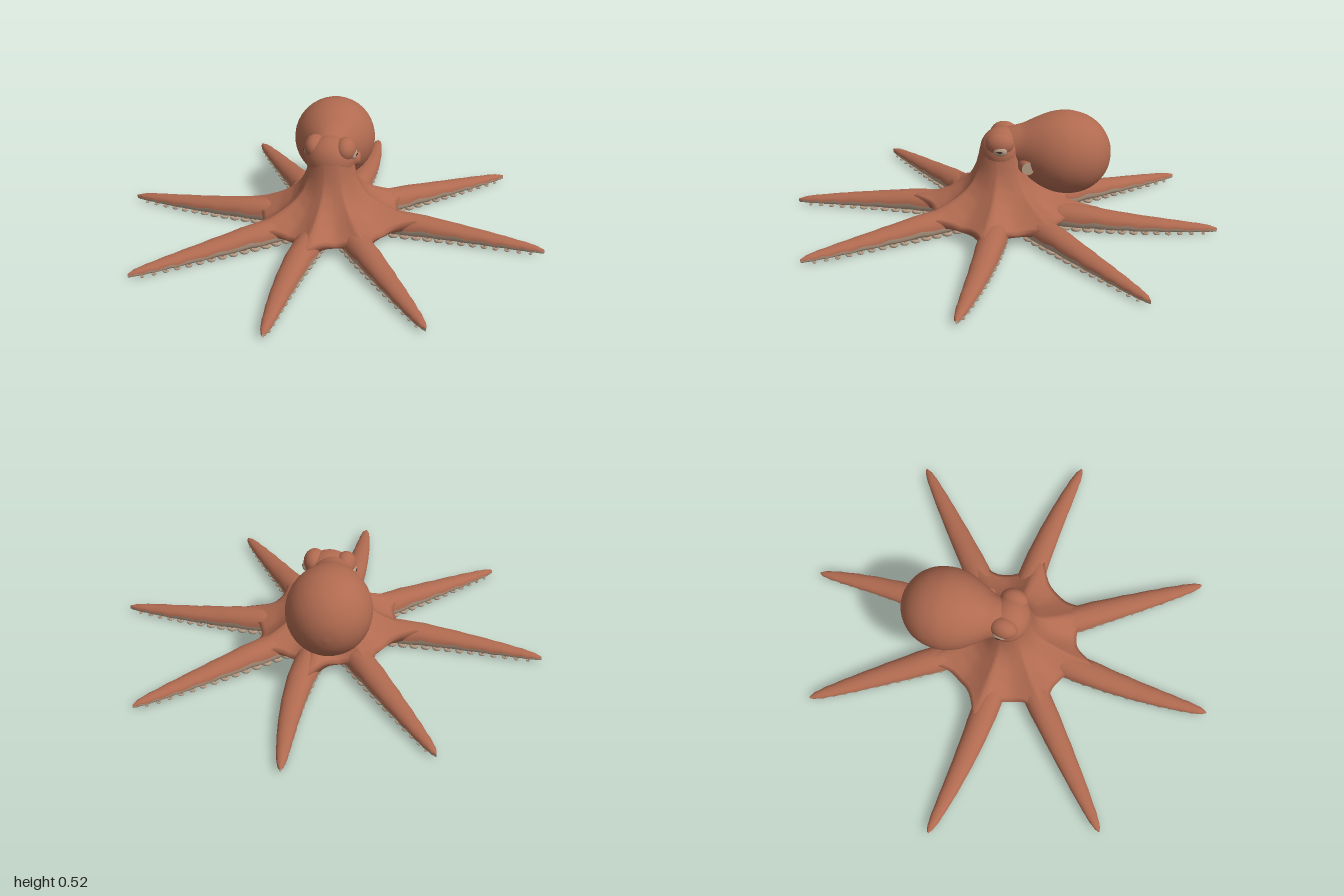
import * as THREE from 'three';
import { mergeGeometries } from 'three/addons/utils/BufferGeometryUtils.js';

const paint = (name, color) => {
  const m = new THREE.MeshStandardMaterial({ color, side: THREE.DoubleSide });
  m.name = name;
  return m;
};

// Piecewise linear lookup in a list of [x, y] pairs
function lookup(table, x) {
  if (x <= table[0][0]) return table[0][1];
  for (let i = 1; i < table.length; i++) {
    const [x0, y0] = table[i - 1], [x1, y1] = table[i];
    if (x <= x1) return y0 + (y1 - y0) * (x - x0) / (x1 - x0);
  }
  return table[table.length - 1][1];
}

// Smooth surface through equal-length rows of points
function loft(rows, closed) {
  const n = rows[0].length, index = [];
  for (let i = 0; i < rows.length - 1; i++) {
    for (let j = 0; j < (closed ? n : n - 1); j++) {
      const k = (j + 1) % n;
      const a = i * n + j, b = i * n + k, c = a + n, d = b + n;
      index.push(a, b, c, b, d, c);
    }
  }
  const g = new THREE.BufferGeometry().setFromPoints(rows.flat());
  g.setIndex(index);
  g.computeVertexNormals();
  return g;
}

// Tip x, tip z, sideways bow of each arm, in order around the body
const ARMS = [
  [0.99, 0.03, -0.022], [0.59, 0.785, 0], [-0.02, 0.99, 0.027], [-0.72, 0.695, 0],
  [-0.99, -0.03, -0.027], [-0.59, -0.785, 0], [0.01, -0.99, 0.04], [0.72, -0.71, 0],
];
const RIDGE = [[0.1, 0.36], [0.115, 0.29], [0.14, 0.235], [0.18, 0.19], [0.24, 0.155], [0.32, 0.122], [0.42, 0.1], [0.5, 0.085]];
const VALLEY = [[0.1, 0.36], [0.115, 0.28], [0.14, 0.215], [0.18, 0.16], [0.24, 0.11], [0.32, 0.068], [0.42, 0.05], [0.5, 0.045]];
const ARM_TOP = [[0.1, 0.1], [0.3, 0.115], [0.42, 0.107], [0.6, 0.085], [0.8, 0.063], [0.95, 0.045], [1, 0.03]];
const ARM_HALF = [[0.1, 0.045], [0.25, 0.066], [0.4, 0.062], [0.6, 0.051], [0.8, 0.037], [0.93, 0.024], [0.98, 0.014], [1, 0.002]];
const ARM_EDGE = [[0.1, 0.05], [0.45, 0.055], [0.8, 0.036], [1, 0.025]];

// Webbed skirt flaring from the neck, closed underneath
function skirtGeometry() {
  const spokes = [];
  const angles = ARMS.map(([x, z]) => (Math.atan2(z, x) + 2 * Math.PI) % (2 * Math.PI));
  angles.forEach((a, i) => {
    const b = i < 7 ? angles[i + 1] : angles[0] + 2 * Math.PI;
    for (let k = 0; k < 12; k++) {
      spokes.push({ angle: a + (b - a) * k / 12, near: Math.abs(1 - k / 6) });
    }
  });
  const rows = [];
  for (let i = 0; i <= 16; i++) {
    const s = Math.pow(i / 16, 1.4);
    rows.push(spokes.map(({ angle, near }) => {
      const r = 0.1 + (0.22 + 0.13 * near ** 3) * s;
      const low = lookup(VALLEY, r);
      const y = low + (lookup(RIDGE, r) - low) * near ** 1.6;
      return new THREE.Vector3(r * Math.cos(angle), y, r * Math.sin(angle));
    }));
  }
  rows.push(rows[16].map((p) => new THREE.Vector3(p.x * 0.95, Math.min(p.y, 0.05), p.z * 0.95)));
  rows.push(rows[16].map(() => new THREE.Vector3(0, 0.055, 0)));
  return loft(rows, true);
}

// Centre line of an arm at distance t (0 to 1) with its sideways direction
function armFrame([tx, tz, bow], t) {
  const len = Math.hypot(tx, tz), dx = tx / len, dz = tz / len;
  const off = bow * Math.sin(Math.PI * Math.min(1, t));
  return { x: tx * t - dz * off, z: tz * t + dx * off, sx: -dz, sz: dx };
}

// Half of an arm: domed upper skin or flattened underside
function armGeometry(arm, upper) {
  const rows = [];
  for (let i = 0; i <= 24; i++) {
    const t = 0.1 + 0.9 * Math.sin(i / 24 * Math.PI / 2);
    const f = armFrame(arm, t);
    const w = lookup(ARM_HALF, t);
    const edge = lookup(ARM_EDGE, t) + 0.005 * Math.sin(i * 2.3);
    const target = upper ? lookup(ARM_TOP, t) : 0.012;
    const row = [];
    for (let j = 0; j <= 12; j++) {
      const a = j / 12 * Math.PI;
      const u = w * Math.cos(a);
      const y = edge + (target - edge) * Math.pow(Math.max(0, Math.sin(a)), upper ? 1 : 0.7);
      row.push(new THREE.Vector3(f.x + f.sx * u, y, f.z + f.sz * u));
    }
    rows.push(row);
  }
  return loft(rows, false);
}

// Two rows of ring suckers shrinking toward the tip
function suckerGeometry(arm) {
  const parts = [];
  for (let i = 0; i < 15; i++) {
    const t = 0.2 + 0.74 * i / 14;
    const f = armFrame(arm, t), w = lookup(ARM_HALF, t);
    for (const side of [-1, 1]) {
      const r = w * 0.27;
      const g = new THREE.TorusGeometry(r, r * 0.5, 6, 10).rotateX(Math.PI / 2);
      const u = side * w * 0.52;
      g.translate(f.x + f.sx * u, 0.003 + r * 0.5, f.z + f.sz * u);
      parts.push(g);
    }
  }
  return mergeGeometries(parts);
}

export function createModel() {
  const skin = paint('terracotta skin', 0xb06a50);
  const pale = paint('pale underside', 0xb99f88);
  const dark = paint('dark pupil', 0x3b2a24);
  const model = new THREE.Group();
  model.name = 'octopus';
  const add = (name, geometry, material, parent = model) => {
    const mesh = new THREE.Mesh(geometry, material);
    mesh.name = name;
    parent.add(mesh);
    return mesh;
  };

  add('skirt', skirtGeometry(), skin);

  ARMS.forEach((arm, i) => {
    const group = new THREE.Group();
    group.name = 'arm' + (i + 1);
    model.add(group);
    add('armTop', armGeometry(arm, true), skin, group);
    add('armUnderside', armGeometry(arm, false), pale, group);
    add('suckers', suckerGeometry(arm), pale, group);
  });

  // Head with a raised brow over each eye
  const head = add('head', new THREE.SphereGeometry(1, 28, 20), skin);
  head.scale.set(0.113, 0.105, 0.1);
  head.position.set(-0.005, 0.352, 0);
  for (const side of [-1, 1]) {
    const brow = add('brow', new THREE.SphereGeometry(1, 20, 14), skin);
    brow.scale.set(0.048, 0.055, 0.065);
    brow.position.set(side * 0.072 - 0.005, 0.404, 0);

    const eye = new THREE.Group();
    eye.name = side > 0 ? 'leftEye' : 'rightEye';
    eye.position.set(side * 0.108 - 0.005, 0.382, -0.008);
    model.add(eye);
    add('eyeball', new THREE.SphereGeometry(1, 16, 12), pale, eye).scale.set(0.016, 0.023, 0.032);
    const pupil = add('pupil', new THREE.SphereGeometry(1, 12, 8), dark, eye);
    pupil.scale.set(0.004, 0.005, 0.014);
    pupil.position.x = side * 0.0145;
  }

  // Mantle: bulb leaning back from the head
  const profile = [[0, -0.03], [0.06, -0.01], [0.085, 0.03], [0.105, 0.08], [0.142, 0.14], [0.173, 0.2], [0.189, 0.26],
    [0.19, 0.31], [0.178, 0.37], [0.148, 0.425], [0.105, 0.465], [0.055, 0.49], [0, 0.498]];
  const curve = new THREE.SplineCurve(profile.map(([r, d]) => new THREE.Vector2(r, d)));
  const points = curve.getPoints(36).map((p) => new THREE.Vector2(Math.max(0, p.x), p.y));
  const mantle = add('mantle', new THREE.LatheGeometry(points, 36), skin);
  mantle.position.set(-0.02, 0.375, 0);
  mantle.quaternion.setFromUnitVectors(new THREE.Vector3(0, 1, 0),
    new THREE.Vector3(-0.06, -0.065, -0.49).normalize());

  // Breathing funnel beside the neck
  const funnel = new THREE.Group();
  funnel.name = 'funnel';
  funnel.position.set(0.085, 0.305, -0.13);
  funnel.rotation.y = 0.3;
  model.add(funnel);
  add('funnelTube', new THREE.CylinderGeometry(0.03, 0.045, 0.07, 16, 1, true).rotateZ(-Math.PI / 2), skin, funnel)
    .position.x = -0.015;
  add('funnelOpening', new THREE.CircleGeometry(0.029, 16).rotateY(Math.PI / 2), pale, funnel).position.x = 0.017;

  return model;
}
